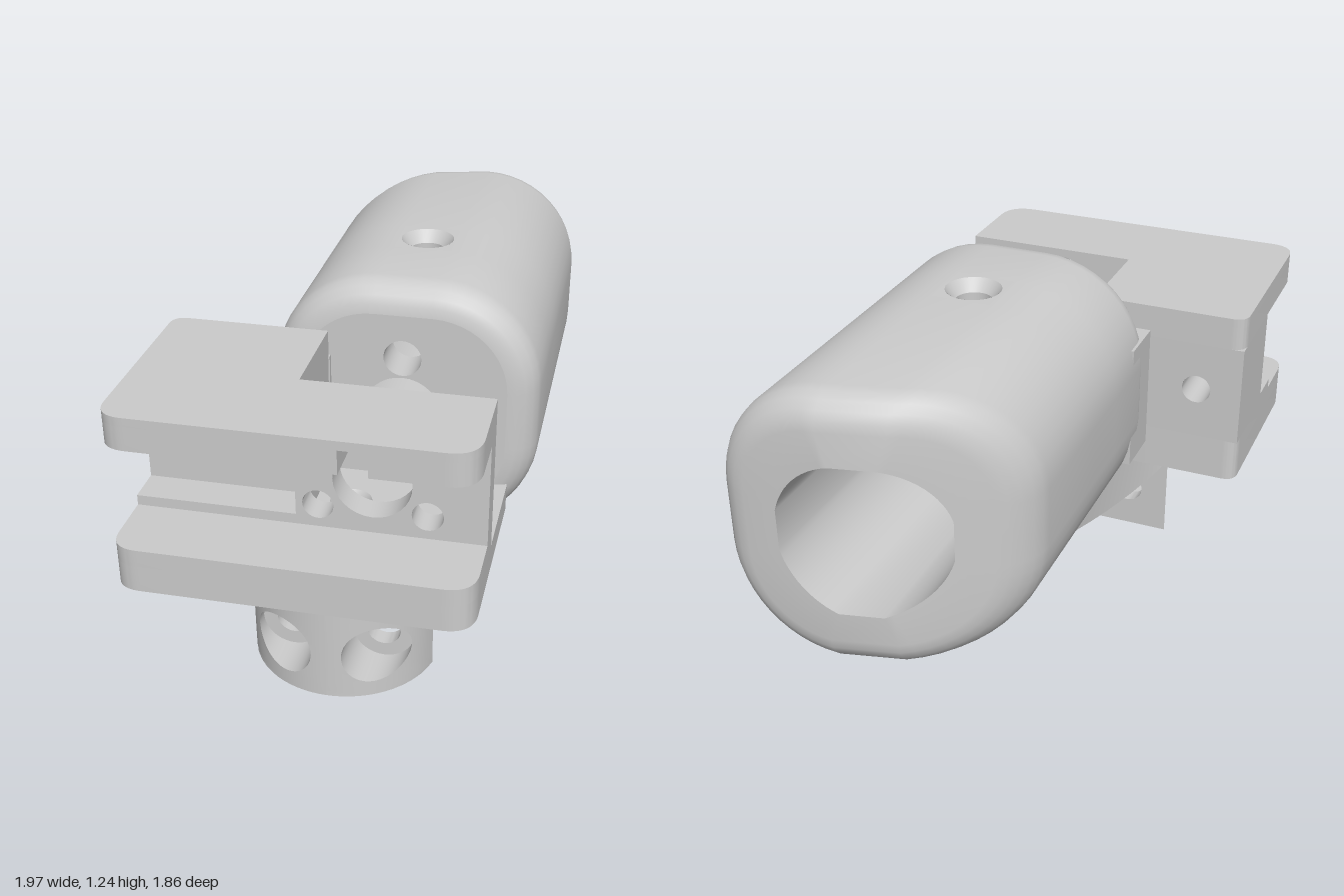
import * as THREE from 'three';
import { toCreasedNormals } from 'three/addons/utils/BufferGeometryUtils.js';

const V = (x, y, z) => new THREE.Vector3(x, y, z);
const AX = 0.08, AY = 0.79;                 // bore axis
const HOLE = [0.08, -0.29];                 // vertical body hole (x, z)
const FLOOR_HOLE = [-0.05, 0.34];           // vertical floor hole (x, z)

function part(group, name, geometry) {
  const material = new THREE.MeshStandardMaterial({ color: 0xcccccc, side: THREE.DoubleSide });
  const mesh = new THREE.Mesh(toCreasedNormals(geometry, 0.6), material);
  mesh.name = name;
  group.add(mesh);
}

// Skin through closed rings of equal point count; skip(i, j) leaves openings
function loft(rings, skip = () => false, closed = false) {
  const n = rings[0].length, index = [];
  const last = closed ? rings.length : rings.length - 1;
  for (let i = 0; i < last; i++) for (let j = 0; j < n; j++) {
    if (skip(i, j)) continue;
    const r = ((i + 1) % rings.length) * n, k = (j + 1) % n;
    const a = i * n + j, b = i * n + k, c = r + j, d = r + k;
    index.push(a, c, b, b, c, d);
  }
  const g = new THREE.BufferGeometry().setFromPoints(rings.flat());
  g.setIndex(index);
  return g;
}

// Polygon from [x, y, cornerRadius]
function polygon(pts) {
  const s = new THREE.Shape();
  pts.forEach(([x, y, r = 0], i) => {
    const p = new THREE.Vector2(x, y);
    const toward = ([qx, qy]) => new THREE.Vector2(qx, qy).sub(p).setLength(r).add(p);
    const a = toward(pts[(i + pts.length - 1) % pts.length]);
    const b = toward(pts[(i + 1) % pts.length]);
    if (i) s.lineTo(a.x, a.y); else s.moveTo(a.x, a.y);
    if (r) s.quadraticCurveTo(x, y, b.x, b.y);
  });
  s.closePath();
  return s;
}

function punch(shape, x, y, r) {
  shape.holes.push(new THREE.Path().absarc(x, y, r, 0, Math.PI * 2, true));
  return shape;
}

const extrude = (shape, depth) =>
  new THREE.ExtrudeGeometry(shape, { depth, bevelEnabled: false, curveSegments: 16 });

// Plan outline in (x, z), raised from y0 to y1
function slab(pts, y0, y1, holes = []) {
  const s = polygon(pts.map(([x, z, r]) => [x, -z, r]));
  holes.forEach(([x, z, r]) => punch(s, x, -z, r));
  return extrude(s, y1 - y0).rotateX(-Math.PI / 2).translate(0, y0, 0);
}

const rect = (x0, y0, x1, y1) => [[x0, y0], [x1, y0], [x1, y1], [x0, y1]];

function boltPattern(shape, center, bolt) {
  punch(shape, AX, AY, center);
  for (let k = 0; k < 3; k++) {
    const a = Math.PI / 2 + k * Math.PI * 2 / 3;
    punch(shape, AX + 0.2 * Math.cos(a), AY + 0.2 * Math.sin(a), bolt);
  }
  return shape;
}

// Vertical hole lining from [radius, y] pairs
const lining = ([x, z], profile) => new THREE.LatheGeometry(
  profile.map(([r, y]) => new THREE.Vector2(r, y)), 32).translate(x, 0, z);

// Four quarter arcs of 13 points; segments 12 and 38 are the top and bottom flats
function quarters(fn) {
  const out = [];
  for (let k = 0; k < 4; k++) for (let s = 0; s <= 12; s++) out.push(fn(k, s));
  return out;
}

function bodySection(inset, zOf) {
  return quarters((k, s) => {
    const a = (k * 90 + s * 7.5) * Math.PI / 180, r = 0.35 - inset;
    const x = AX + (k === 0 || k === 3 ? 0.0975 : -0.0975) + r * Math.cos(a);
    return V(x, AY + (k < 2 ? 0.1 : -0.1) + r * Math.sin(a), zOf(x));
  });
}

function boreSection(zOf) {
  return quarters((k, s) => {
    const a = (k * 90 + 15 + s * 5) * Math.PI / 180, x = AX + 0.255 * Math.cos(a);
    return V(x, AY + 0.255 * Math.sin(a), zOf(x));
  });
}

function bodyShell() {
  const f = 0.1, steps = 5, rings = [];
  const back = x => Math.max(-1.12, -1.08 - 0.577 * x);   // end face with oblique cut
  for (let i = 0; i <= steps; i++) {
    const a = (1 - i / steps) * Math.PI / 2;
    rings.push(bodySection(f * (1 - Math.cos(a)), () => 0.145 - f * (1 - Math.sin(a))));
  }
  for (const z of [-0.1925, -0.3875]) rings.push(bodySection(0, () => z));
  for (let i = 0; i <= steps; i++) {
    const a = i / steps * Math.PI / 2;
    rings.push(bodySection(f * (1 - Math.cos(a)), x => back(x) + f * (1 - Math.sin(a))));
  }
  rings.push(boreSection(back));
  for (const z of [-0.35, -0.23, 0]) rings.push(boreSection(() => z));
  return loft(rings, (i, j) => (i === 6 || i === 15) && (j === 12 || j === 38));
}

// Half of the curved leg, wrapped round one counterbored screw hole
function legCell(cx) {
  const x0 = cx - 0.155, w = 0.31, h = 0.46, hy = 0.16, n = 12, edge = [];
  for (let i = 0; i < n; i++) edge.push([x0 + w * i / n, 0]);
  for (let i = 0; i < n; i++) edge.push([x0 + w, h * i / n]);
  for (let i = 0; i < n; i++) edge.push([x0 + w * (1 - i / n), h]);
  for (let i = 0; i < n; i++) edge.push([x0, h * (1 - i / n)]);
  const front = x => 0.36 + Math.sqrt(Math.max(0.0064, 0.1024 - (x + 0.06) ** 2));
  // t = 0 on the outline, 1 on the circle of radius r
  const ring = (t, r, zOf) => edge.map(([x, y]) => {
    const a = Math.atan2(y - hy, x - cx);
    const px = x + (cx + r * Math.cos(a) - x) * t;
    return V(px, y + (hy + r * Math.sin(a) - y) * t, zOf(px));
  });
  const at = z => () => z;
  const rings = [ring(0, 0, front), ring(0, 0, at(0.44)), ring(1, 0.057, at(0.44)),
    ring(1, 0.057, at(0.5)), ring(1, 0.105, at(0.5))];
  for (let t = 5; t > 0; t--) rings.push(ring(t / 5, 0.105, front));
  return loft(rings, undefined, true);
}

// Arched outline of the underside pad
function padRing(y, cx, w, len) {
  const out = [];
  for (let i = 0; i <= 32; i++) {
    const t = Math.PI * i / 32, s = Math.sin(t);
    out.push(V(cx + (0.08 - cx) * s + w * Math.cos(t), y, 0.445 - len * s));
  }
  return out;
}

export function createModel() {
  const model = new THREE.Group();
  const g = new THREE.Group();
  g.name = 'mountAssembly';
  g.rotation.y = -Math.PI / 6;
  model.add(g);

  // Rounded housing with bore, perforated front wall and top hole
  part(g, 'housing', bodyShell());
  const outline = new THREE.Shape(bodySection(0.1, () => 0).map(p => new THREE.Vector2(p.x, p.y)));
  part(g, 'housingFrontWall', extrude(boltPattern(outline, 0.13, 0.063), 0.145));
  const patch = punch(polygon(rect(AX - 0.0975, 0.1925, AX + 0.0975, 0.3875)), HOLE[0], -HOLE[1], 0.09);
  part(g, 'housingTopFlat', new THREE.ShapeGeometry(patch, 20).rotateX(-Math.PI / 2).translate(0, 1.24, 0));
  part(g, 'topHoleLining', lining(HOLE, [[0.06, 1.03], [0.06, 1.2], [0.09, 1.24]]));
  part(g, 'housingWeb', slab(rect(-0.365, -0.02, -0.16, 0.16), 0.55, 0.98));

  // Lower slab: floor plus raised L
  part(g, 'floorSlab', slab([[-0.69, 0.155, 0.05], [-0.28, 0.155], [-0.28, 0.05], [0.43, 0.05],
    [0.44, 0.145], [0.44, 0.85, 0.1], [-0.69, 0.85, 0.09]], 0.46, 0.55, [[...FLOOR_HOLE, 0.07]]));
  part(g, 'lowerJaw', slab([[-0.69, 0.155, 0.05], [-0.165, 0.155], [-0.165, 0.507],
    [0.44, 0.507], [0.44, 0.85, 0.1], [-0.69, 0.85, 0.09]], 0.55, 0.61));
  part(g, 'floorHoleLining', lining(FLOOR_HOLE, [[0.05, 0.31], [0.05, 0.52], [0.07, 0.55]]));

  // Upper slab, its lower layer slotted for the screw
  const upper = slot => [[-0.69, 0.155, 0.05], [-0.165, 0.155], [-0.165, 0.6], ...slot,
    [-0.69, 0.85, 0.09]];
  part(g, 'upperJaw', slab(upper([[0.44, 0.6], [0.44, 0.85, 0.1]]), 1.04, 1.07));
  part(g, 'upperJawSlotted', slab(upper([[0.035, 0.6], [0.035, 0.85]]), 0.96, 1.04));
  part(g, 'upperJawCorner', slab([[0.125, 0.6], [0.44, 0.6], [0.44, 0.85, 0.1], [0.125, 0.85]], 0.96, 1.04));

  // Walls between the jaws
  part(g, 'mountWall', extrude(boltPattern(polygon(rect(-0.165, 0.55, 0.44, 1.07)), 0.125, 0.05), 0.093)
    .translate(0, 0, 0.507));
  part(g, 'sideBlock', extrude(punch(polygon(rect(-0.69, 0.61, -0.165, 0.96)), -0.535, AY, 0.05), 0.32)
    .translate(0, 0, 0.155));
  part(g, 'ledge', slab(rect(-0.69, 0.47, -0.165, 0.6), 0.61, 0.645));

  // Underside pad
  const low = padRing(0.31, -0.06, 0.31, 0.92);
  part(g, 'padSides', loft([padRing(0.5, 0.04, 0.37, 1.02), low]));
  const base = new THREE.Shape(low.map(p => new THREE.Vector2(p.x, p.z)));
  punch(base, ...HOLE, 0.06);
  punch(base, ...FLOOR_HOLE, 0.05);
  part(g, 'padBottom', new THREE.ShapeGeometry(base, 20).rotateX(Math.PI / 2).translate(0, 0.31, 0));
  part(g, 'padHoleLining', lining(HOLE, [[0.06, 0.31], [0.06, 0.55]]));

  // Leg with two counterbored screw holes
  for (const side of [-1, 1]) part(g, side < 0 ? 'legRight' : 'legLeft', legCell(-0.06 + side * 0.155));

  return model;
}
